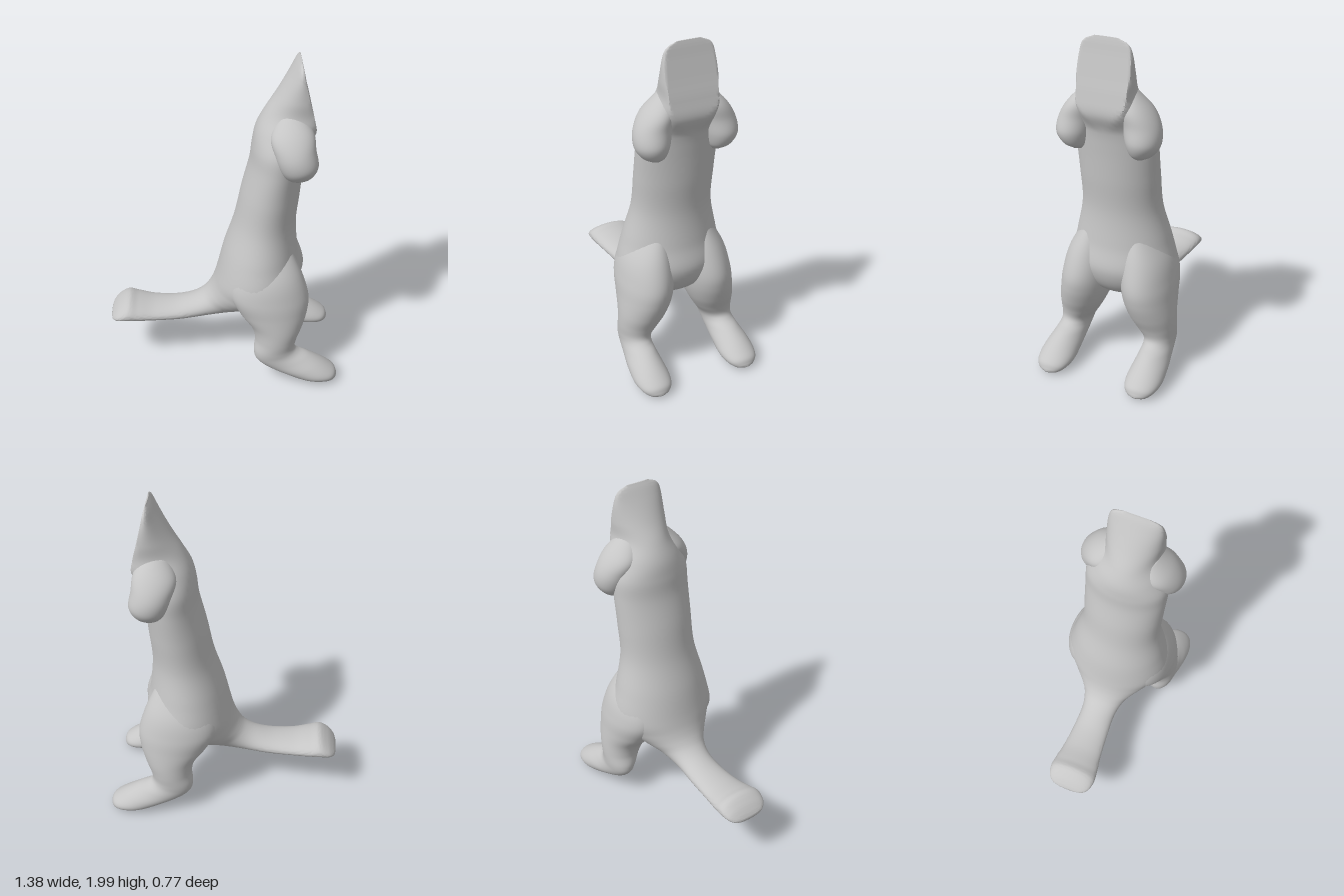
import * as THREE from 'three';
import { toCreasedNormals } from 'three/addons/utils/BufferGeometryUtils.js';

const SIDES = 48, STEPS = 8;

// Smooth skin over oval sections. Each station is
// [x0, y0, x1, y1, zCentre, zHalf, cut]: the oval spans from (x0,y0) to (x1,y1)
// in profile and zCentre +- zHalf across; cut < 1 slices the second end flat.
function loft(stations, side = 1) {
  const curve = (f) => new THREE.CatmullRomCurve3(
    stations.map((s) => new THREE.Vector3(...f(s))), false, 'catmullrom', 0.5);
  const start = curve((s) => [s[0], s[1], s[6] ?? 1]);
  const end = curve((s) => [s[2], s[3], 0]);
  const width = curve((s) => [s[4] * side, s[5], 0]);
  const rings = (stations.length - 1) * STEPS;
  const pos = [], index = [];
  for (let i = 0; i <= rings; i++) {
    const a = start.getPoint(i / rings), b = end.getPoint(i / rings), w = width.getPoint(i / rings);
    const cut = Math.min(1, a.z);
    for (let j = 0; j < SIDES; j++) {
      const t = (j / SIDES) * Math.PI * 2;
      const u = (Math.min(Math.cos(t), cut) + 1) / (cut + 1);
      pos.push(a.x + (b.x - a.x) * u, a.y + (b.y - a.y) * u, w.x + w.y * Math.sin(t));
    }
  }
  for (let i = 0; i < rings; i++) {
    for (let j = 0; j < SIDES; j++) {
      const k = (j + 1) % SIDES;
      const a = i * SIDES + j, b = i * SIDES + k, c = a + SIDES, d = b + SIDES;
      index.push(a, b, c, b, d, c);
    }
  }
  // close both ends
  const first = pos.length / 3, last = rings * SIDES;
  for (const s of [stations[0], stations[stations.length - 1]]) {
    pos.push((s[0] + s[2]) / 2, (s[1] + s[3]) / 2, s[4] * side);
  }
  for (let j = 0; j < SIDES; j++) {
    const k = (j + 1) % SIDES;
    index.push(first, k, j, first + 1, last + j, last + k);
  }
  const geo = new THREE.BufferGeometry();
  geo.setAttribute('position', new THREE.Float32BufferAttribute(pos, 3));
  geo.setIndex(index);
  geo.computeVertexNormals();
  return geo;
}

// head with flat face, trunk, then curving back into the tail
const BODY = [
  [0.405, 2.0, 0.412, 2.0, 0, 0.07, 0.3],
  [0.385, 1.97, 0.42, 1.97, 0, 0.13, 0.3],
  [0.35, 1.91, 0.433, 1.91, 0, 0.152, 0.3],
  [0.285, 1.8, 0.46, 1.8, 0, 0.16, 0.3],
  [0.222, 1.7, 0.485, 1.7, 0, 0.16, 0.4],
  [0.176, 1.6, 0.5, 1.6, 0, 0.2, 0.85],
  [0.157, 1.5, 0.465, 1.5, 0, 0.235],
  [0.143, 1.38, 0.45, 1.38, 0, 0.238],
  [0.1, 1.2, 0.437, 1.2, 0, 0.235],
  [0.06, 1.0, 0.422, 1.0, 0, 0.237],
  [0.0, 0.8, 0.44, 0.8, 0, 0.283],
  [-0.04, 0.63, 0.465, 0.64, 0, 0.315],
  [-0.065, 0.55, 0.4, 0.5, 0, 0.27],
  [-0.095, 0.495, 0.25, 0.42, 0, 0.2],
  [-0.135, 0.455, 0.1, 0.365, 0, 0.14],
  [-0.2, 0.423, -0.07, 0.318, 0, 0.108],
  [-0.3, 0.397, -0.25, 0.292, 0, 0.11],
  [-0.42, 0.393, -0.42, 0.291, 0, 0.122],
  [-0.52, 0.41, -0.52, 0.296, 0, 0.138],
  [-0.58, 0.425, -0.6, 0.297, 0, 0.145],
  [-0.635, 0.393, -0.655, 0.299, 0, 0.132],
  [-0.67, 0.357, -0.682, 0.304, 0, 0.1],
  [-0.685, 0.335, -0.69, 0.318, 0, 0.055],
];

// thigh, shin, heel and foot
const LEG = [
  [0.12, 0.88, 0.38, 0.88, 0.13, 0.07],
  [0.05, 0.72, 0.455, 0.72, 0.165, 0.135],
  [0.03, 0.59, 0.498, 0.58, 0.185, 0.153],
  [0.09, 0.47, 0.495, 0.48, 0.2, 0.15],
  [0.16, 0.38, 0.467, 0.38, 0.222, 0.137],
  [0.185, 0.3, 0.435, 0.3, 0.245, 0.117],
  [0.178, 0.22, 0.425, 0.245, 0.265, 0.094],
  [0.192, 0.165, 0.45, 0.213, 0.272, 0.085],
  [0.25, 0.115, 0.51, 0.187, 0.276, 0.088],
  [0.36, 0.065, 0.58, 0.147, 0.281, 0.1],
  [0.47, 0.024, 0.637, 0.108, 0.282, 0.104],
  [0.57, 0.009, 0.672, 0.078, 0.282, 0.088],
  [0.64, 0.006, 0.684, 0.05, 0.282, 0.055],
  [0.675, 0.018, 0.687, 0.032, 0.282, 0.015],
];

// short rounded forelimb
const ARM = [
  [0.3, 1.71, 0.41, 1.74, 0.1, 0.04],
  [0.25, 1.61, 0.48, 1.64, 0.15, 0.09],
  [0.27, 1.52, 0.495, 1.55, 0.19, 0.102],
  [0.3, 1.44, 0.51, 1.465, 0.205, 0.094],
  [0.335, 1.385, 0.485, 1.4, 0.198, 0.065],
  [0.38, 1.355, 0.44, 1.365, 0.185, 0.025],
];

export function createModel() {
  const grey = new THREE.MeshStandardMaterial({ color: 0xc6c6c6 });
  grey.name = 'plainGrey';
  const model = new THREE.Group();
  model.name = 'standingAnimal';
  const add = (name, geometry) => {
    const mesh = new THREE.Mesh(geometry, grey);
    mesh.name = name;
    model.add(mesh);
  };

  add('bodyAndTail', toCreasedNormals(loft(BODY), 0.7));
  for (const [label, side] of [['front', 1], ['back', -1]]) {
    add(label + 'SideLeg', loft(LEG, side));
    add(label + 'SideArm', loft(ARM, side));
  }
  return model;
}
